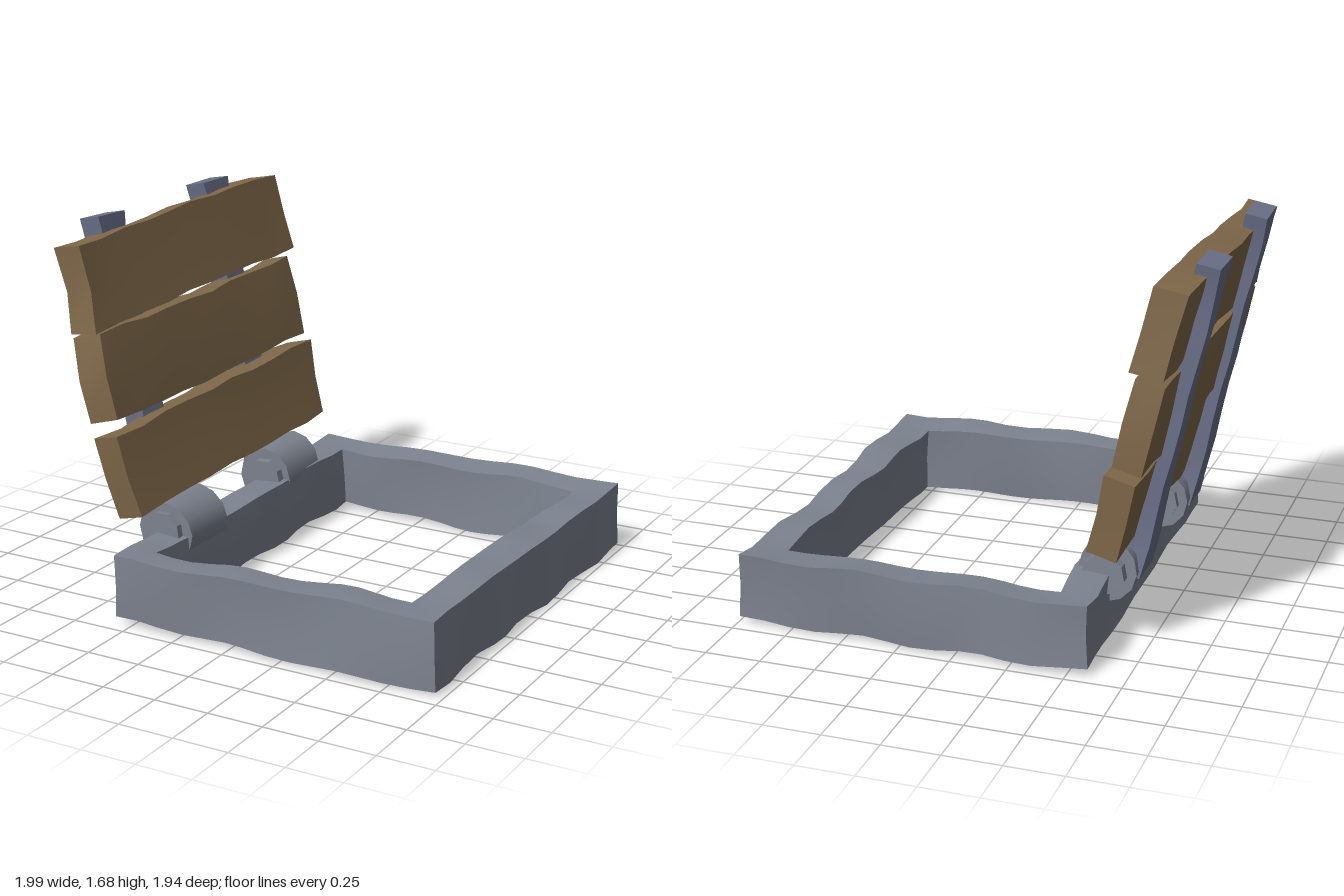
import * as THREE from 'three';
import { mergeGeometries, toCreasedNormals } from 'three/addons/utils/BufferGeometryUtils.js';

const stone = new THREE.MeshStandardMaterial({ color: 0x7d838f });
const iron = new THREE.MeshStandardMaterial({ color: 0x6a7089 });
const wood = new THREE.MeshStandardMaterial({ color: 0x80694a });

// Smooth pseudo-noise in -1..1
const noise = (x, y, z, s) =>
  (Math.sin(x * 11 + z * 3 + s) + Math.sin(y * 13 + x * 5 + s * 2.3) + Math.sin(z * 12 - y * 4 + s * 3.7)) / 3;

// Hand-hewn surface: nudge every vertex by noise of its position
function hew(geo, amount, seed) {
  const p = geo.attributes.position;
  for (let i = 0; i < p.count; i++) {
    const x = p.getX(i), y = p.getY(i), z = p.getZ(i);
    p.setXYZ(i,
      x + amount * noise(x, y, z, seed),
      y + amount * noise(y, z, x, seed + 2),
      z + amount * noise(z, x, y, seed + 5));
  }
  return toCreasedNormals(geo, 0.6);
}

function reshape(geo, rule) {
  const p = geo.attributes.position;
  const v = new THREE.Vector3();
  for (let i = 0; i < p.count; i++) {
    rule(v.fromBufferAttribute(p, i));
    p.setXYZ(i, v.x, v.y, v.z);
  }
  return geo;
}

function add(parent, name, geo, material) {
  const mesh = new THREE.Mesh(geo, material);
  mesh.name = name;
  parent.add(mesh);
  return mesh;
}

// Four mitred beams between an outer and an inner ring of corners (x, z)
function frameGeometry() {
  const outer = [[-0.57, 0.96], [0.95, 0.95], [0.985, -0.95], [-0.575, -0.97]];
  const inner = [[-0.42, 0.82], [0.79, 0.775], [0.82, -0.79], [-0.42, -0.81]];
  const mix = THREE.MathUtils.lerp;
  const sides = outer.map((a, i) => {
    const j = (i + 1) % 4;
    return reshape(new THREE.BoxGeometry(1, 1, 1, 14, 2, 2), (v) => {
      const t = v.x + 0.5, k = v.z + 0.5;
      const at = (axis) => mix(
        mix(inner[i][axis], inner[j][axis], t),
        mix(a[axis], outer[j][axis], t), k);
      v.set(at(0), 0.17 + v.y * 0.295, at(1));
    });
  });
  return hew(mergeGeometries(sides), 0.022, 1);
}

export function createModel() {
  const model = new THREE.Group();
  model.name = 'hatch';
  add(model, 'frame', frameGeometry(), stone);

  // Leaning lid: three planks
  const lid = new THREE.Group();
  lid.name = 'lid';
  model.add(lid);
  [[-0.632, 0.642, 0.024], [-0.742, 1.045, 0.006], [-0.825, 1.442, 0.022]].forEach(([x, y, tilt], i) => {
    const geo = reshape(new THREE.BoxGeometry(0.135, 0.375, 1.61, 1, 2, 9), (v) => {
      v.z *= 1 + 0.02 * Math.sin(v.y * 9 + i * 2);
    });
    const plank = add(lid, 'plank' + (i + 1), hew(geo, 0.017, 7 + i * 4), wood);
    plank.position.set(x, y, 0);
    plank.rotation.set(tilt, 0, 0.225);
  });

  // Straps up the back of the lid, with a hinge at each foot
  for (const side of [1, -1]) {
    const strapGeo = reshape(new THREE.BoxGeometry(0.1, 1.42, 0.15, 1, 10, 1), (v) => {
      v.z *= 1 + 0.4 * Math.pow(Math.abs(v.y / 0.71), 6);
    });
    const strap = add(lid, 'strap', hew(strapGeo, 0.01, 20 + side), iron);
    strap.position.set(-0.793, 0.98, side * 0.43);
    strap.rotation.z = 0.22;

    const hinge = new THREE.Group();
    hinge.name = 'hinge';
    hinge.position.set(-0.55, 0.31, side * 0.425);
    model.add(hinge);
    const barrel = new THREE.CylinderGeometry(0.135, 0.135, 0.3, 12, 2).rotateX(Math.PI / 2);
    add(hinge, 'hingeBarrel', hew(barrel, 0.012, 30 + side), stone);
    const pin = new THREE.CylinderGeometry(0.095, 0.095, 0.37, 9, 2).rotateX(Math.PI / 2);
    add(hinge, 'hingePin', hew(pin, 0.01, 40 + side), stone);
  }
  return model;
}
